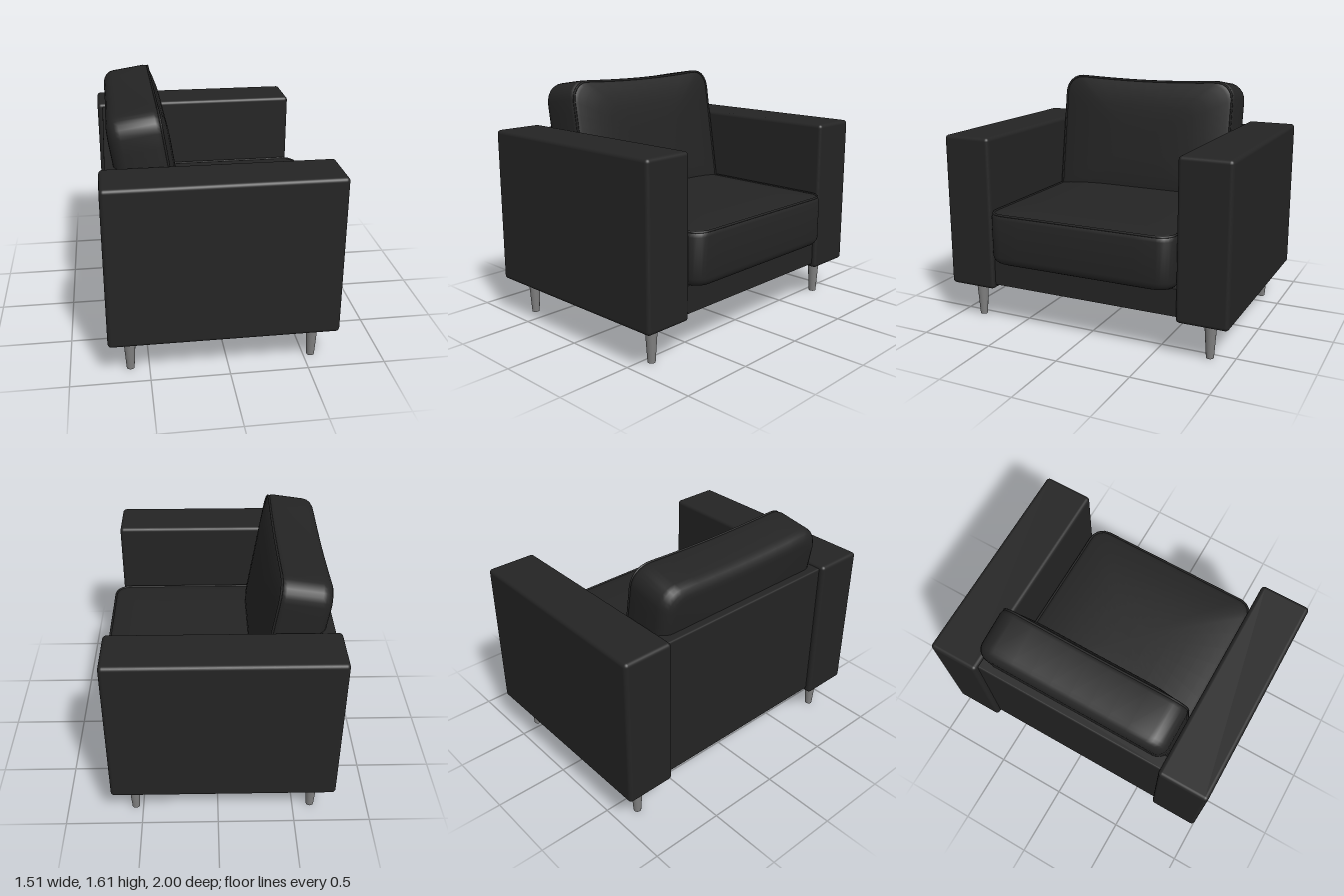
import * as THREE from 'three';
import { RoundedBoxGeometry } from 'three/addons/geometries/RoundedBoxGeometry.js';
import { toCreasedNormals } from 'three/addons/utils/BufferGeometryUtils.js';

const leather = new THREE.MeshStandardMaterial({ color: 0x242424 });
leather.name = 'black leather';
const metal = new THREE.MeshStandardMaterial({ color: 0x808080 });
metal.name = 'grey metal';

function add(parent, name, geometry, material, x = 0, y = 0, z = 0) {
  const mesh = new THREE.Mesh(geometry, material);
  mesh.name = name;
  mesh.position.set(x, y, z);
  parent.add(mesh);
  return mesh;
}

// Rounded rectangle, counter-clockwise; dip lowers the middle of the upper edge
function outline(w, h, r, dip) {
  const pts = [];
  const centres = [[1, 1], [-1, 1], [-1, -1], [1, -1]];
  centres.forEach(([sx, sy], q) => {
    const cx = sx * (w / 2 - r), cy = sy * (h / 2 - r);
    for (let i = 0; i <= 6; i++) {
      const a = (q + i / 6) * Math.PI / 2;
      pts.push(new THREE.Vector2(cx + r * Math.cos(a), cy + r * Math.sin(a)));
    }
    // intermediate points along the straight edge to the next corner
    const [nx, ny] = centres[(q + 1) % 4];
    const a = (q + 1) * Math.PI / 2;
    const end = new THREE.Vector2(nx * (w / 2 - r) + r * Math.cos(a), ny * (h / 2 - r) + r * Math.sin(a));
    const start = pts[pts.length - 1].clone();
    for (let i = 1; i < 8; i++) pts.push(start.clone().lerp(end, i / 8));
  });
  for (const p of pts) {
    if (p.y > h / 2 - 0.01) p.y -= dip * Math.cos(Math.min(1, Math.abs(p.x) / (w / 2 - r)) * Math.PI / 2);
  }
  return pts;
}

// Cushion lying in the xy plane: rounded underside, seam at z = 0, crowned face towards +z
function cushion(name, { w, h, t, r, bevel, crown, dip = 0 }) {
  const group = new THREE.Group();
  group.name = name;
  const shape = outline(w, h, r, dip);
  const rings = [[-t, 0, 0]]; // [z, inset, scale]
  for (let i = 0; i <= 5; i++) {
    const a = i / 5 * Math.PI / 2;
    rings.push([-t + bevel * (1 - Math.cos(a)), bevel * (1 - Math.sin(a)), 1]);
  }
  rings.push([-0.03, 0, 1], [-0.008, 0.006, 1], [0, 0.014, 1]);
  for (const s of [0.96, 0.88, 0.75, 0.6, 0.4, 0.2, 0]) {
    rings.push([crown * (1 - s ** 4), 0.014, s]);
  }
  const n = shape.length, position = [], index = [];
  for (const [z, inset, s] of rings) {
    for (const p of shape) {
      position.push(p.x * s * (1 - 2 * inset / w), p.y * s * (1 - 2 * inset / h), z);
    }
  }
  for (let j = 0; j < rings.length - 1; j++) {
    for (let i = 0; i < n; i++) {
      const k = (i + 1) % n;
      const a = j * n + i, b = j * n + k, c = b + n, d = a + n;
      if (rings[j][2] > 0) index.push(a, b, c);
      else index.push(a, c, d);
      if (rings[j][2] > 0 && rings[j + 1][2] > 0) index.push(a, c, d);
    }
  }
  const geometry = new THREE.BufferGeometry();
  geometry.setAttribute('position', new THREE.Float32BufferAttribute(position, 3));
  geometry.setIndex(index);
  add(group, name + ' pad', toCreasedNormals(geometry, 0.7), leather);

  // piping along the seam
  const path = shape.map(p => new THREE.Vector3(p.x * (1 - 0.02 / w), p.y * (1 - 0.02 / h), 0));
  const curve = new THREE.CatmullRomCurve3(path, true);
  add(group, name + ' piping', new THREE.TubeGeometry(curve, 120, 0.008, 6, true), leather);
  return group;
}

export function createModel() {
  const chair = new THREE.Group();
  chair.name = 'armchair';

  // arms and legs, mirrored
  for (const side of [1, -1]) {
    const label = side > 0 ? 'near' : 'far';
    add(chair, label + ' arm', new RoundedBoxGeometry(1.445, 1.04, 0.34, 4, 0.025), leather,
      -0.0325, 0.77, side * 0.83);
    for (const x of [-0.62, 0.55]) {
      add(chair, label + (x > 0 ? ' front leg' : ' back leg'),
        new THREE.CylinderGeometry(0.042, 0.025, 0.26, 20), metal, x, 0.13, side * 0.845);
    }
  }

  // frame
  add(chair, 'base', new THREE.BoxGeometry(1.36, 0.18, 1.34), leather, -0.02, 0.37, 0);
  add(chair, 'back panel', new RoundedBoxGeometry(0.1, 0.99, 1.34, 3, 0.012), leather, -0.67, 0.775, 0);

  // seat cushion
  const seat = cushion('seat cushion', { w: 1.35, h: 1.31, t: 0.35, r: 0.1, bevel: 0.06, crown: 0.035 });
  seat.rotation.x = -Math.PI / 2;
  seat.position.set(0.075, 0.8, 0);
  chair.add(seat);

  // back cushion, leaning backwards
  const lean = new THREE.Group();
  lean.name = 'leaning back';
  const back = cushion('back cushion',
    { w: 1.31, h: 0.94, t: 0.33, r: 0.12, bevel: 0.08, crown: 0.05, dip: 0.015 });
  back.rotation.y = Math.PI / 2;
  lean.add(back);
  lean.rotation.z = 0.155;
  lean.position.set(-0.312, 1.147, 0);
  chair.add(lean);

  return chair;
}
